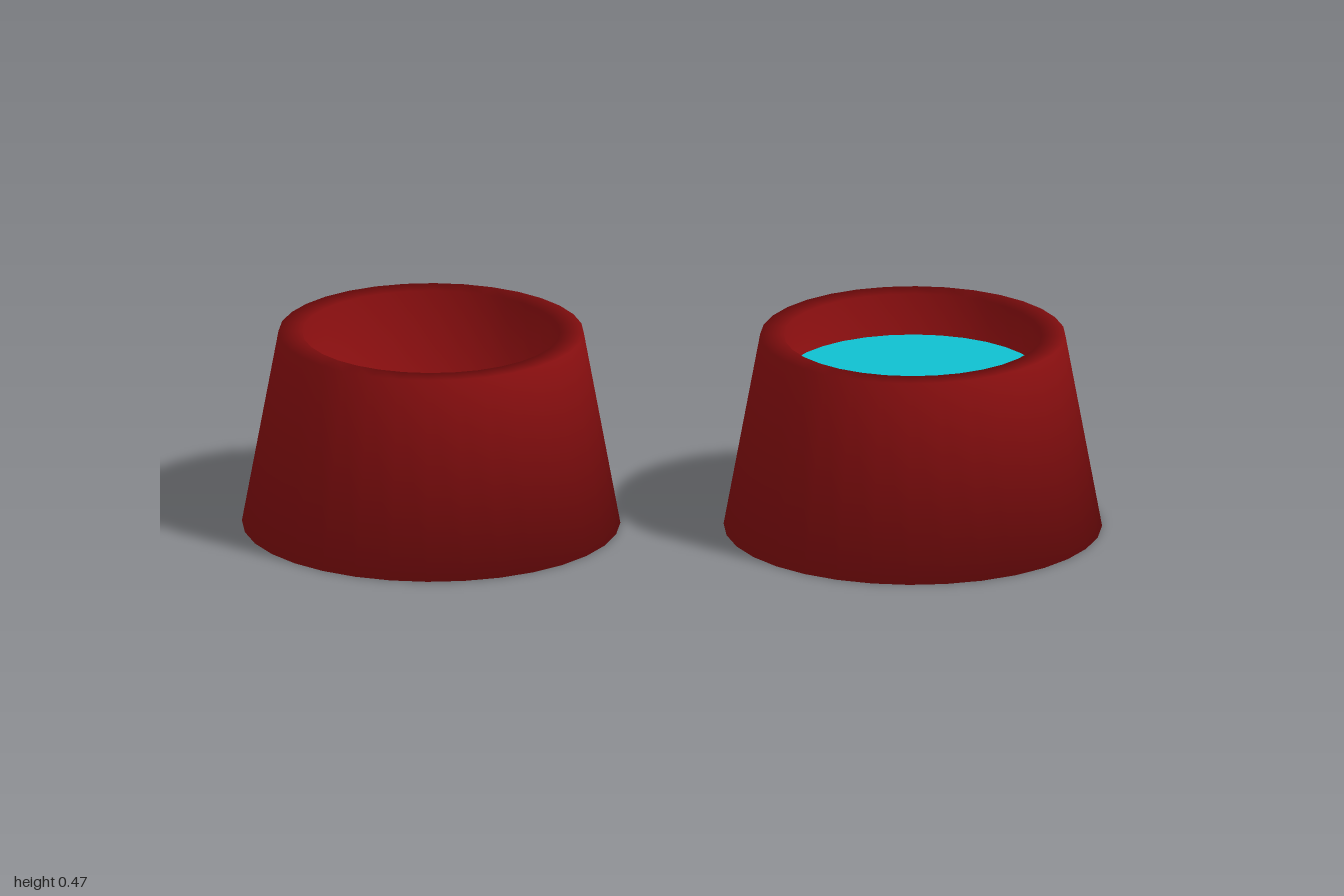
import * as THREE from 'three';

const RED = new THREE.MeshStandardMaterial({ color: 0x8c0f10 });
const CYAN = new THREE.MeshStandardMaterial({ color: 0x10c0d0 });
const SIDES = 32;

// Closed tapered bowl: base, sloping wall, flat rim, straight cavity, floor
function makeBowl(name) {
  const profile = [
    [0, 0], [0.44, 0], [0.355, 0.465], [0.3, 0.465], [0.3, 0.12], [0, 0.12],
  ].map(([r, y]) => new THREE.Vector2(r, y));
  const shell = new THREE.Mesh(new THREE.LatheGeometry(profile, SIDES), RED);
  shell.name = 'bowlShell';
  const bowl = new THREE.Group();
  bowl.name = name;
  bowl.add(shell);
  return bowl;
}

export function createModel() {
  const model = new THREE.Group();
  model.name = 'petBowls';

  const foodBowl = makeBowl('foodBowl');
  foodBowl.position.x = -0.56;

  const waterBowl = makeBowl('waterBowl');
  waterBowl.position.x = 0.56;

  // Water surface a little below the rim
  const water = new THREE.Mesh(new THREE.CircleGeometry(0.3, SIDES), CYAN);
  water.name = 'water';
  water.rotation.x = -Math.PI / 2;
  water.position.y = 0.365;
  waterBowl.add(water);

  model.add(foodBowl, waterBowl);
  return model;
}
